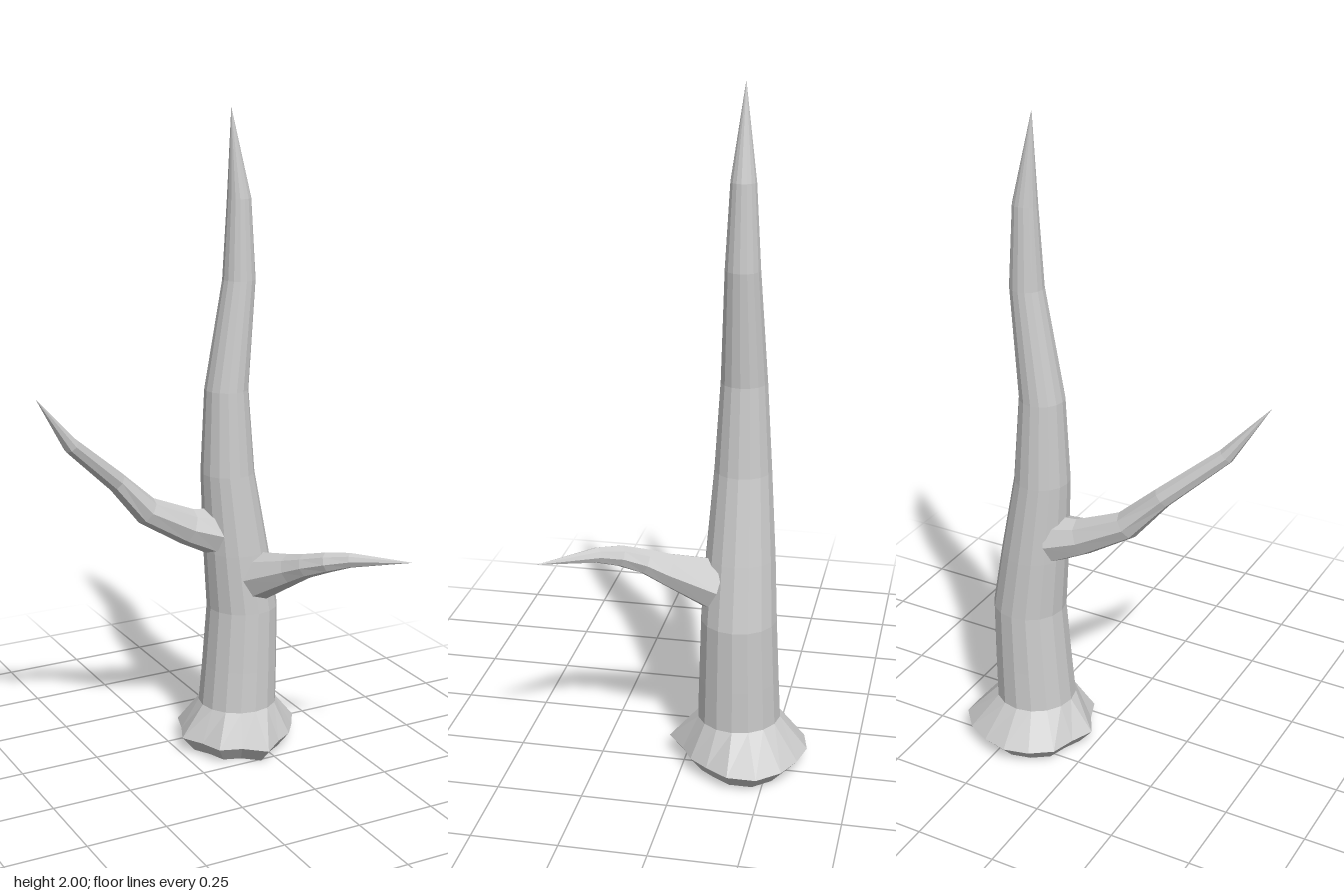
import * as THREE from 'three';

const bark = new THREE.MeshStandardMaterial({ color: 0xcccccc, flatShading: true });
const openBark = new THREE.MeshStandardMaterial({
  color: 0xcccccc, flatShading: true, side: THREE.DoubleSide,
});

// Skin a list of rings (equal point counts, counter-clockwise seen from the far end)
function loft(name, rings, material) {
  const n = rings[0].length, index = [];
  const points = rings.flat();
  for (let i = 0; i < rings.length - 1; i++) {
    for (let j = 0; j < n; j++) {
      const a = i * n + j, b = i * n + (j + 1) % n;
      index.push(a, b, b + n, a, b + n, a + n);
    }
  }
  const geometry = new THREE.BufferGeometry().setFromPoints(points);
  geometry.setIndex(index);
  geometry.computeVertexNormals();
  const mesh = new THREE.Mesh(geometry, material);
  mesh.name = name;
  return mesh;
}

// Horizontal ring; radius is a function of the side number
function levelRing(x, y, z, sides, radius) {
  return Array.from({ length: sides }, (_, j) => {
    const a = (j / sides) * Math.PI * 2, r = radius(j);
    return new THREE.Vector3(x + Math.cos(a) * r, y, z - Math.sin(a) * r);
  });
}

// Tapering branch through stations [x, y, z, radius], rings square to the path
function branch(name, stations, sides = 8) {
  const pts = stations.map(([x, y, z]) => new THREE.Vector3(x, y, z));
  const rings = pts.map((p, i) => {
    const dir = pts[Math.min(i + 1, pts.length - 1)].clone()
      .sub(pts[Math.max(i - 1, 0)]).normalize();
    const side = new THREE.Vector3().crossVectors(dir, new THREE.Vector3(0, 1, 0)).normalize();
    const up = new THREE.Vector3().crossVectors(side, dir);
    return Array.from({ length: sides }, (_, j) => {
      const a = (j / sides) * Math.PI * 2, r = stations[i][3];
      return p.clone().addScaledVector(side, Math.cos(a) * r).addScaledVector(up, -Math.sin(a) * r);
    });
  });
  return loft(name, rings, openBark);
}

export function createModel() {
  const model = new THREE.Group();
  model.name = 'deadTree';
  const sides = 16, z = -0.156;

  // Flared root foot with an uneven rim, pinched in at the ground and open below
  const rim = [0.205, 0.222, 0.212, 0.202, 0.205, 0.202, 0.2, 0.178,
    0.195, 0.17, 0.187, 0.168, 0.21, 0.17, 0.173, 0.177];
  model.add(loft('rootFlare', [
    levelRing(0.2, 0, z, sides, (j) => rim[j] * 0.78),
    levelRing(0.2, 0.05, z, sides, (j) => rim[j]),
    levelRing(0.2, 0.15, z, sides, () => 0.123),
  ], openBark));

  // Swaying trunk drawn out to a point: [x, y, radius]
  const trunk = [
    [0.2, 0.15, 0.123], [0.207, 0.28, 0.118], [0.215, 0.47, 0.111], [0.192, 0.66, 0.101],
    [0.162, 0.91, 0.083], [0.157, 1.17, 0.067], [0.198, 1.5, 0.05],
    [0.197, 1.74, 0.036], [0.17, 2, 0.0005],
  ];
  model.add(loft('trunk', trunk.map(([x, y, r]) => levelRing(x, y, z, sides, () => r)), bark));

  // Long branch rising to the right
  model.add(branch('rightBranch', [
    [0.12, 0.722, -0.161, 0.074], [0.025, 0.752, -0.16, 0.056],
    [-0.115, 0.825, -0.153, 0.043], [-0.22, 0.935, -0.138, 0.031],
    [-0.385, 1.08, -0.077, 0.024], [-0.5, 1.235, -0.045, 0.0005],
  ]));

  // Shorter branch curving forward and to the left
  model.add(branch('frontBranch', [
    [0.237, 0.583, -0.082, 0.076], [0.28, 0.635, 0.04, 0.048],
    [0.297, 0.662, 0.1, 0.037], [0.33, 0.688, 0.165, 0.031],
    [0.375, 0.705, 0.22, 0.023], [0.5, 0.72, 0.357, 0.0005],
  ]));

  return model;
}
